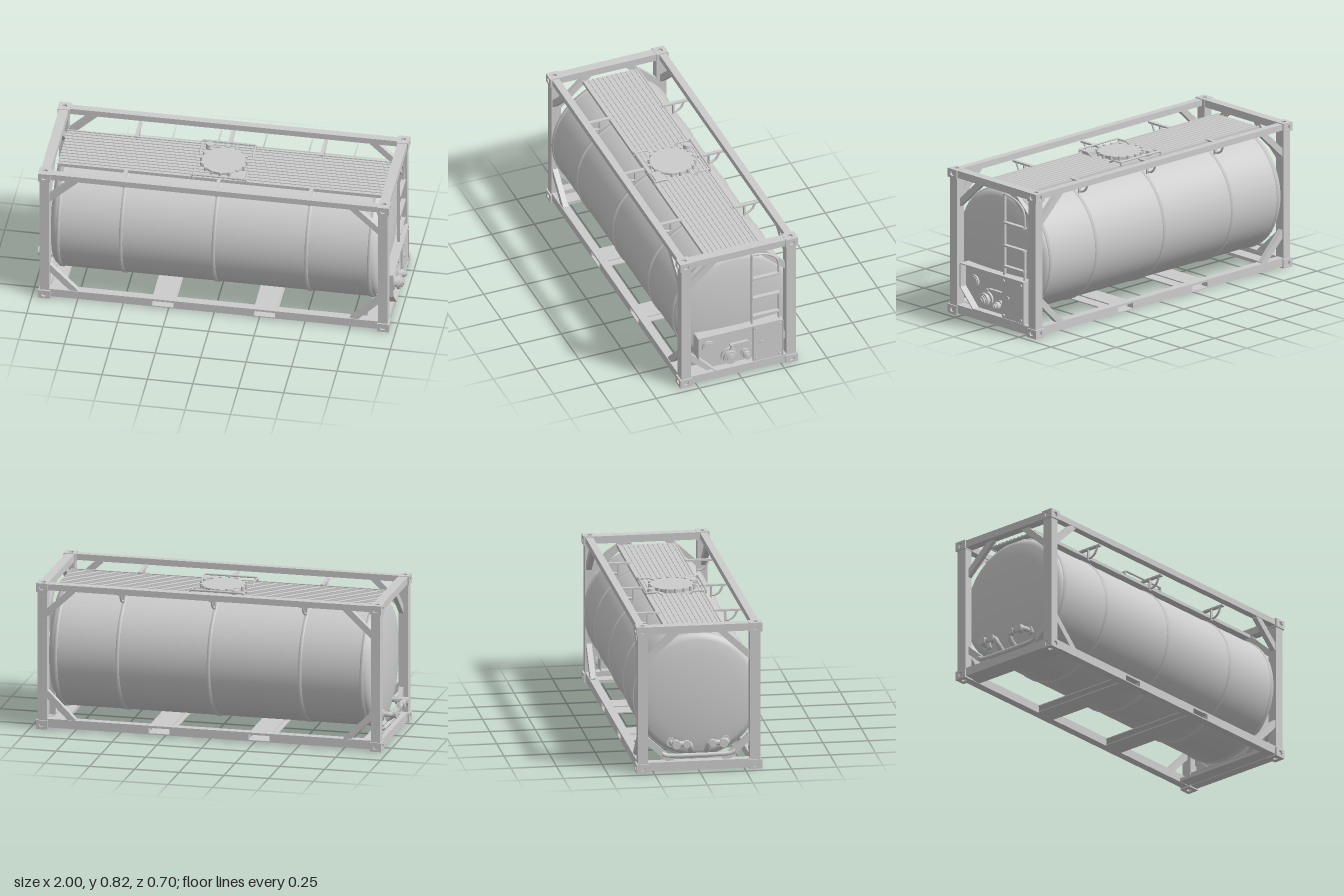
import * as THREE from 'three';

const grey = new THREE.MeshStandardMaterial({ color: 0xcccccc, side: THREE.DoubleSide });
grey.name = 'painted steel';

const V = (x, y, z) => new THREE.Vector3(x, y, z);

export function createModel() {
  const root = new THREE.Group();
  root.name = 'tankContainer';

  const add = (name, geo, x = 0, y = 0, z = 0) => {
    const m = new THREE.Mesh(geo, grey);
    m.name = name;
    m.position.set(x, y, z);
    root.add(m);
    return m;
  };
  // box given by its min and max on every axis
  const span = (name, x0, x1, y0, y1, z0, z1) =>
    add(name, new THREE.BoxGeometry(x1 - x0, y1 - y0, z1 - z0), (x0 + x1) / 2, (y0 + y1) / 2, (z0 + z1) / 2);
  // straight bar between two points
  const beam = (name, a, b, w, h) => {
    const m = add(name, new THREE.BoxGeometry(w, h, a.distanceTo(b)));
    m.position.copy(a).lerp(b, 0.5);
    m.lookAt(b);
    return m;
  };
  const tube = (name, pts, r, tension = 0.1) =>
    add(name, new THREE.TubeGeometry(new THREE.CatmullRomCurve3(pts, false, 'catmullrom', tension), pts.length * 6, r, 8));
  // cylinder lying along x
  const discX = (name, x0, x1, y, z, r, sides = 24) => {
    const m = add(name, new THREE.CylinderGeometry(r, r, x1 - x0, sides), (x0 + x1) / 2, y, z);
    m.rotation.z = Math.PI / 2;
    return m;
  };

  // tank shell with dished ends
  const half = [[0.347, 0.5], [0.347, 0.85], [0.343, 0.87], [0.332, 0.888], [0.31, 0.9], [0.24, 0.911], [0.15, 0.92], [0.07, 0.924], [0, 0.925]];
  const profile = [...half.map(([r, x]) => new THREE.Vector2(r, -x)).reverse(), ...half.map(([r, x]) => new THREE.Vector2(r, x))];
  add('tankShell', new THREE.LatheGeometry(profile, 64), 0, 0.41, 0).rotation.z = -Math.PI / 2;

  // cladding bands
  for (const x of [-0.855, -0.51, 0, 0.51, 0.855]) {
    const w = 0.009;
    const band = [[0.34, -w], [0.352, -w], [0.352, w], [0.34, w]].map(p => new THREE.Vector2(...p));
    const m = add('claddingBand', new THREE.LatheGeometry(band, 64), x, 0.41, 0);
    m.rotation.z = -Math.PI / 2;
  }

  // corner castings: a core with pierced plates on each face
  const pierced = (w, h) => {
    const s = new THREE.Shape([[-w, -h], [w, -h], [w, h], [-w, h]].map(([a, b]) => new THREE.Vector2(a / 2, b / 2)));
    s.holes.push(new THREE.Path().absellipse(0, 0, 0.015, 0.015, 0, Math.PI * 2, true));
    const g = new THREE.ExtrudeGeometry(s, { depth: 0.012, bevelEnabled: false, curveSegments: 4 });
    return g.translate(0, 0, -0.012);
  };
  const cw = 0.066, ch = 0.05, cd = 0.07;
  for (const sx of [-1, 1]) for (const sz of [-1, 1]) for (const cy of [0.025, 0.796]) {
    const g = new THREE.Group();
    g.name = 'cornerCasting';
    g.position.set(sx * 0.932, cy, sz * 0.31);
    const part = geo => {
      const m = new THREE.Mesh(geo, grey);
      m.name = 'castingPart';
      g.add(m);
      return m;
    };
    part(new THREE.BoxGeometry(cw - 0.022, ch - 0.022, cd - 0.022));
    for (const s of [-1, 1]) {
      const f = part(pierced(cw, ch));
      f.position.z = s * cd / 2;
      f.rotation.y = s > 0 ? 0 : Math.PI;
      const e = part(pierced(cd, ch));
      e.position.x = s * cw / 2;
      e.rotation.y = s * Math.PI / 2;
      const t = part(pierced(cw, cd));
      t.position.y = s * ch / 2;
      t.rotation.x = -s * Math.PI / 2;
    }
    root.add(g);
  }

  // posts, end rails and knee braces
  for (const sx of [-1, 1]) {
    const x0 = Math.min(sx * 0.905, sx * 0.957), x1 = Math.max(sx * 0.905, sx * 0.957);
    span('topEndRail', x0, x1, 0.777, 0.818, -0.29, 0.29);
    span('bottomEndRail', x0, x1, 0.008, 0.056, -0.29, 0.29);
    span('endSkidPlate', Math.min(sx * 0.83, sx * 0.91), Math.max(sx * 0.83, sx * 0.91), 0.012, 0.03, -0.29, 0.29);
    for (const sz of [-1, 1]) {
      span('cornerPost', x0, x1, 0.04, 0.78, Math.min(sz * 0.28, sz * 0.336), Math.max(sz * 0.28, sz * 0.336));
      beam('sideUpperBrace', V(sx * 0.915, 0.645, sz * 0.315), V(sx * 0.76, 0.79, sz * 0.315), 0.03, 0.035);
      beam('sideLowerBrace', V(sx * 0.915, 0.205, sz * 0.315), V(sx * 0.76, 0.05, sz * 0.315), 0.03, 0.035);
      beam('endUpperBrace', V(sx * 0.92, 0.62, sz * 0.295), V(sx * 0.92, 0.785, sz * 0.115), 0.025, 0.035);
      beam('endLowerBrace', V(sx * 0.92, 0.19, sz * 0.3), V(sx * 0.92, 0.045, sz * 0.14), 0.025, 0.035);
    }
  }

  // side rails, the lower ones pierced by the lifting pockets
  for (const sz of [-1, 1]) {
    span('topSideRail', -0.91, 0.91, 0.782, 0.816, sz * 0.314 - 0.02, sz * 0.314 + 0.02);
    const rail = new THREE.Shape([[-0.91, 0.01], [0.91, 0.01], [0.91, 0.058], [-0.91, 0.058]].map(p => new THREE.Vector2(...p)));
    for (const x of [-0.28, 0.28])
      rail.holes.push(new THREE.Path([[x - 0.058, 0.016], [x - 0.058, 0.046], [x + 0.058, 0.046], [x + 0.058, 0.016]].map(p => new THREE.Vector2(...p))));
    add('bottomSideRail', new THREE.ExtrudeGeometry(rail, { depth: 0.045, bevelEnabled: false }), 0, 0, sz * 0.312 - 0.0225);
  }
  for (const x of [-0.28, 0.28]) {
    span('pocketTop', x - 0.062, x + 0.062, 0.046, 0.052, -0.292, 0.292);
    span('pocketFloor', x - 0.062, x + 0.062, 0.01, 0.016, -0.292, 0.292);
  }

  // walkway: a deck with narrow lengthwise treads
  span('walkwayDeck', -0.89, 0.895, 0.757, 0.764, -0.158, 0.155);
  for (let i = 0; i < 12; i++) {
    const z = -0.15 + i * 0.027;
    span('walkwayTread', -0.89, 0.895, 0.762, 0.768, z - 0.009, z + 0.009);
  }
  for (const z of [-0.16, 0.157]) span('walkwayEdge', -0.89, 0.895, 0.754, 0.773, z - 0.004, z + 0.004);

  // walkway cross supports with curved hangers
  for (const x of [-0.51, 0, 0.51]) {
    for (const sz of [-1, 1]) {
      span('walkwaySupport', x - 0.01, x + 0.01, 0.768, 0.778, sz > 0 ? 0.15 : -0.3, sz > 0 ? 0.3 : -0.15);
      tube('supportHanger', [V(x, 0.77, sz * 0.28), V(x, 0.735, sz * 0.262), V(x, 0.718, sz * 0.235), V(x, 0.718, sz * 0.215)], 0.006, 0.5);
      span('supportLeg', x - 0.008, x + 0.008, 0.705, 0.77, sz * 0.215 - 0.004, sz * 0.215 + 0.004);
    }
  }

  // manhole with bolts and guard frame
  add('manholeNeck', new THREE.CylinderGeometry(0.11, 0.11, 0.04, 40), 0, 0.76, 0);
  add('manholeLid', new THREE.CylinderGeometry(0.122, 0.122, 0.012, 40), 0, 0.783, 0);
  for (let i = 0; i < 16; i++) {
    const a = i * Math.PI / 8;
    add('lidBolt', new THREE.CylinderGeometry(0.009, 0.009, 0.024, 8), Math.cos(a) * 0.124, 0.783, Math.sin(a) * 0.124);
  }
  const g = 0.145;
  for (const s of [-1, 1]) {
    tube('manholeGuard', [V(-g, 0.765, s * 0.163), V(-g, 0.79, s * 0.163), V(g, 0.79, s * 0.163), V(g, 0.765, s * 0.163)], 0.006);
    tube('manholeGuardEnd', [V(s * g, 0.785, -0.163), V(s * g, 0.785, -0.1), V(s * g, 0.768, -0.07)], 0.005);
    tube('manholeGuardEnd', [V(s * g, 0.785, 0.163), V(s * g, 0.785, 0.1), V(s * g, 0.768, 0.07)], 0.005);
  }
  add('ventValve', new THREE.CylinderGeometry(0.02, 0.024, 0.03, 16), -0.1, 0.782, -0.13);
  span('ventBox', 0.06, 0.14, 0.765, 0.786, 0.09, 0.15);

  // ladder on the right-hand end
  const lx = 0.945;
  span('ladderRail', lx - 0.008, lx + 0.008, 0.3, 0.765, -0.086, -0.077);
  span('ladderRail', lx - 0.008, lx + 0.008, 0.3, 0.475, -0.244, -0.236);
  tube('ladderHoop', [V(lx, 0.6, -0.238), V(lx, 0.665, -0.237), V(lx, 0.71, -0.22), V(lx, 0.745, -0.17), V(lx, 0.765, -0.082)], 0.006, 0.5);
  for (const y of [0.355, 0.473, 0.603]) span('ladderRung', lx - 0.012, lx + 0.012, y - 0.005, y + 0.005, -0.242, -0.08);

  // valve cabinet: back plate, surrounding hood and door
  const outline = [[0.24, 0.303], [-0.252, 0.303], [-0.252, 0.065], [0.14, 0.065], [0.24, 0.17]];
  const back = new THREE.Shape(outline.map(([z, y]) => new THREE.Vector2(-z, y)));
  add('cabinetBack', new THREE.ExtrudeGeometry(back, { depth: 0.008, bevelEnabled: false }), 0.922, 0, 0).rotation.y = Math.PI / 2;
  outline.forEach(([z, y], i) => {
    const [z2, y2] = outline[(i + 1) % outline.length];
    beam('cabinetHood', V(0.925, y, z), V(0.925, y2, z2), 0.095, 0.006);
  });
  span('cabinetDoor', 0.955, 0.968, 0.066, 0.3, -0.25, -0.082);
  for (const z of [-0.235, -0.1]) for (const y of [0.083, 0.28]) discX('doorBolt', 0.96, 0.976, y, z, 0.008, 8);
  discX('doorLatch', 0.96, 0.974, 0.185, -0.13, 0.012, 12);
  discX('gauge', 0.925, 0.94, 0.21, 0.168, 0.037);
  discX('gaugeFace', 0.935, 0.944, 0.21, 0.168, 0.03);
  beam('innerPanelEdge', V(0.938, 0.195, 0.045), V(0.938, 0.195, -0.06), 0.02, 0.006);
  beam('innerPanelEdge', V(0.938, 0.195, -0.06), V(0.938, 0.165, -0.082), 0.02, 0.006);

  // discharge valves
  const valve = (y, z, r) => {
    discX('valveBody', 0.92, 0.985, y, z, r * 0.7);
    discX('valveFlange', 0.94, 0.952, y, z, r);
    discX('valveFlange', 0.965, 0.98, y, z, r * 0.9);
    discX('valveCap', 0.98, 0.994, y, z, r * 0.6, 8);
    discX('valveNut', 0.99, 1.0, y, z, r * 0.35, 6);
  };
  valve(0.136, 0.055, 0.045);
  valve(0.124, -0.042, 0.026);
  beam('valveHandle', V(0.96, 0.17, 0.05), V(0.96, 0.2, 0.038), 0.01, 0.012);

  // steam pipes on the opposite end
  for (const s of [-1, 1]) {
    tube('steamPipe', [V(-0.9, 0.16, s * 0.15), V(-0.955, 0.16, s * 0.15), V(-0.976, 0.16, s * 0.135), V(-0.976, 0.16, s * 0.06), V(-0.96, 0.13, s * 0.045), V(-0.92, 0.1, s * 0.045)], 0.015, 0.4);
    discX('pipeFlange', -0.935, -0.925, 0.16, s * 0.15, 0.026, 16);
    discX('pipeCap', -1.0, -0.965, 0.16, s * 0.13, 0.024, 12);
    discX('pipeCap', -0.995, -0.965, 0.16, s * 0.07, 0.02, 12);
  }
  tube('drainPipe', [V(-0.935, 0.1, -0.2), V(-0.935, 0.085, -0.15), V(-0.935, 0.085, 0.15), V(-0.935, 0.1, 0.2)], 0.012, 0.4);

  return root;
}
